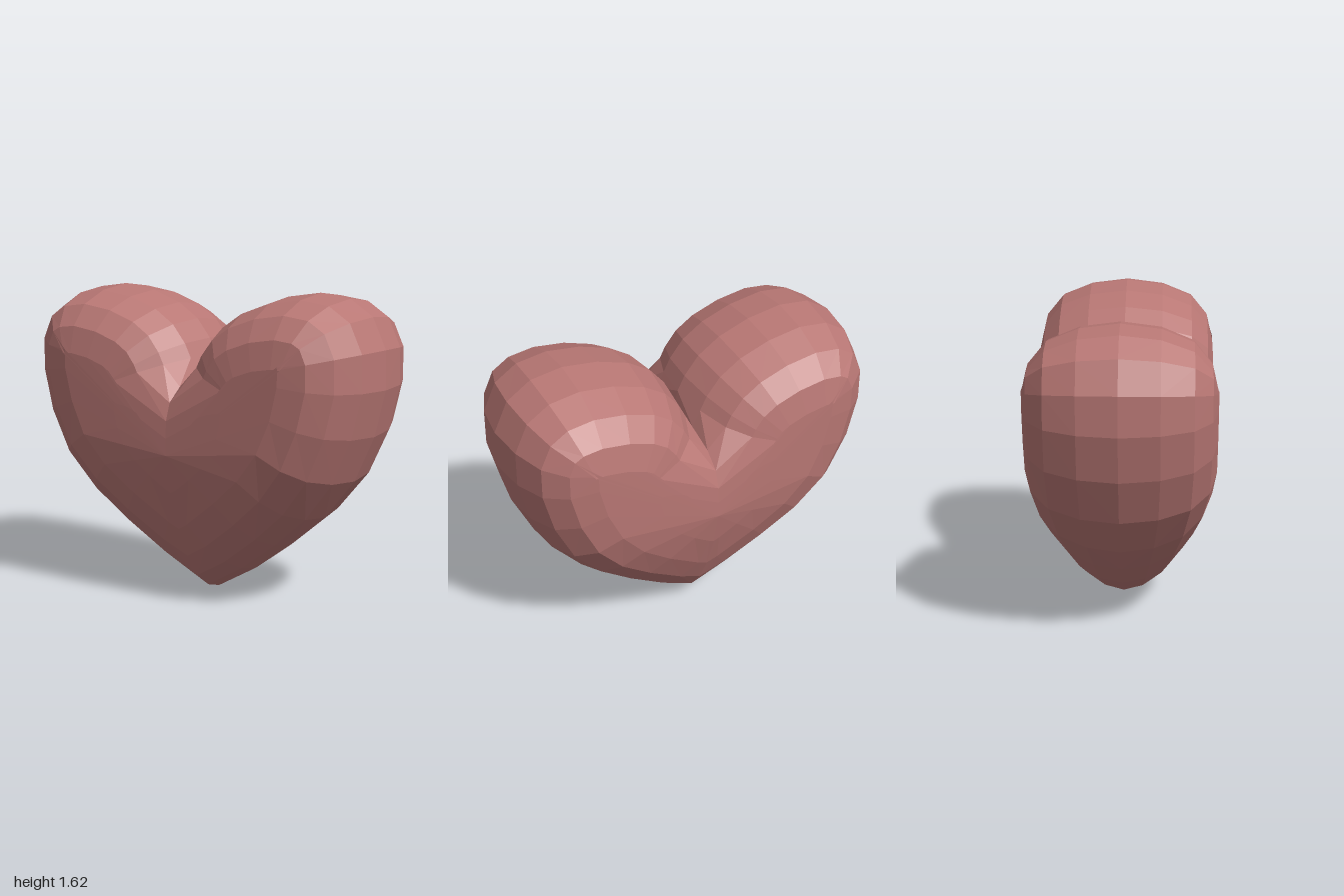
import * as THREE from 'three';

// Right half of the heart outline, from bottom tip up to the cleft
const HALF = [
  [0, 0.005], [0.24, 0.14], [0.46, 0.3], [0.66, 0.47], [0.83, 0.68], [0.94, 0.92],
  [0.998, 1.16], [0.995, 1.36], [0.92, 1.52], [0.79, 1.605], [0.62, 1.628], [0.43, 1.6],
  [0.26, 1.54], [0.14, 1.46], [0.06, 1.36], [0.02, 1.28], [0, 1.2],
];
// Inset of each ring from the outline, and its depth
const RINGS = [[0, 0], [0.025, 0.2], [0.09, 0.36], [0.2, 0.45], [0.34, 0.482]];

// The body thins towards the bottom tip
function thickness(y) {
  const t = Math.min(1, Math.max(0, y / 0.85));
  return 0.5 + 0.5 * (t + 0.8 * t * t * (1 - t));
}

// Outline moved inwards along its normals
function insetRing(outline, d, z) {
  const n = outline.length;
  return outline.map(([x, y], i) => {
    if (i === 0) y += d * 1.15;
    else if (i === HALF.length - 1) y -= d * 0.65;
    else {
      const a = outline[(i + n - 1) % n], b = outline[(i + 1) % n];
      const tx = b[0] - a[0], ty = b[1] - a[1], l = Math.hypot(tx, ty);
      x -= d * ty / l;
      y += d * tx / l;
    }
    return [x, y, z * thickness(y)];
  });
}

function heartGeometry() {
  const outline = [...HALF, ...HALF.slice(1, -1).reverse().map(([x, y]) => [-x, y])];
  const n = outline.length;
  const rings = RINGS.map(([d, z]) => insetRing(outline, d, z));

  // Gently domed face: a half-way ring, then the centre
  const cx = 0, cy = 0.8;
  rings.push(rings[rings.length - 1].map(([x, y]) => {
    const my = (y + cy) / 2;
    return [(x + cx) / 2, my, 0.487 * thickness(my)];
  }));
  rings.push(outline.map(() => [cx, cy, 0.488]));

  const pos = [];
  const tri = (a, b, c) => {
    pos.push(...a, ...b, ...c);
    // same face on the back, turned round
    for (const p of [a, c, b]) pos.push(p[0], p[1], -p[2]);
  };
  for (let k = 0; k < rings.length - 1; k++) {
    const A = rings[k], B = rings[k + 1];
    for (let i = 0; i < n; i++) {
      const j = (i + 1) % n;
      // diagonals mirrored left and right
      if (i < n / 2) {
        tri(A[i], A[j], B[j]);
        if (k < rings.length - 2) tri(A[i], B[j], B[i]);
      } else {
        tri(A[i], A[j], B[i]);
        if (k < rings.length - 2) tri(A[j], B[j], B[i]);
      }
    }
  }
  const g = new THREE.BufferGeometry();
  g.setAttribute('position', new THREE.Float32BufferAttribute(pos, 3));
  g.computeVertexNormals(); // unshared corners give flat facets
  return g;
}

export function createModel() {
  const group = new THREE.Group();
  group.name = 'heart';
  const rose = new THREE.MeshStandardMaterial({ color: 0xb87774, flatShading: true });
  rose.name = 'dusty rose';
  const body = new THREE.Mesh(heartGeometry(), rose);
  body.name = 'heartBody';
  group.add(body);
  return group;
}
